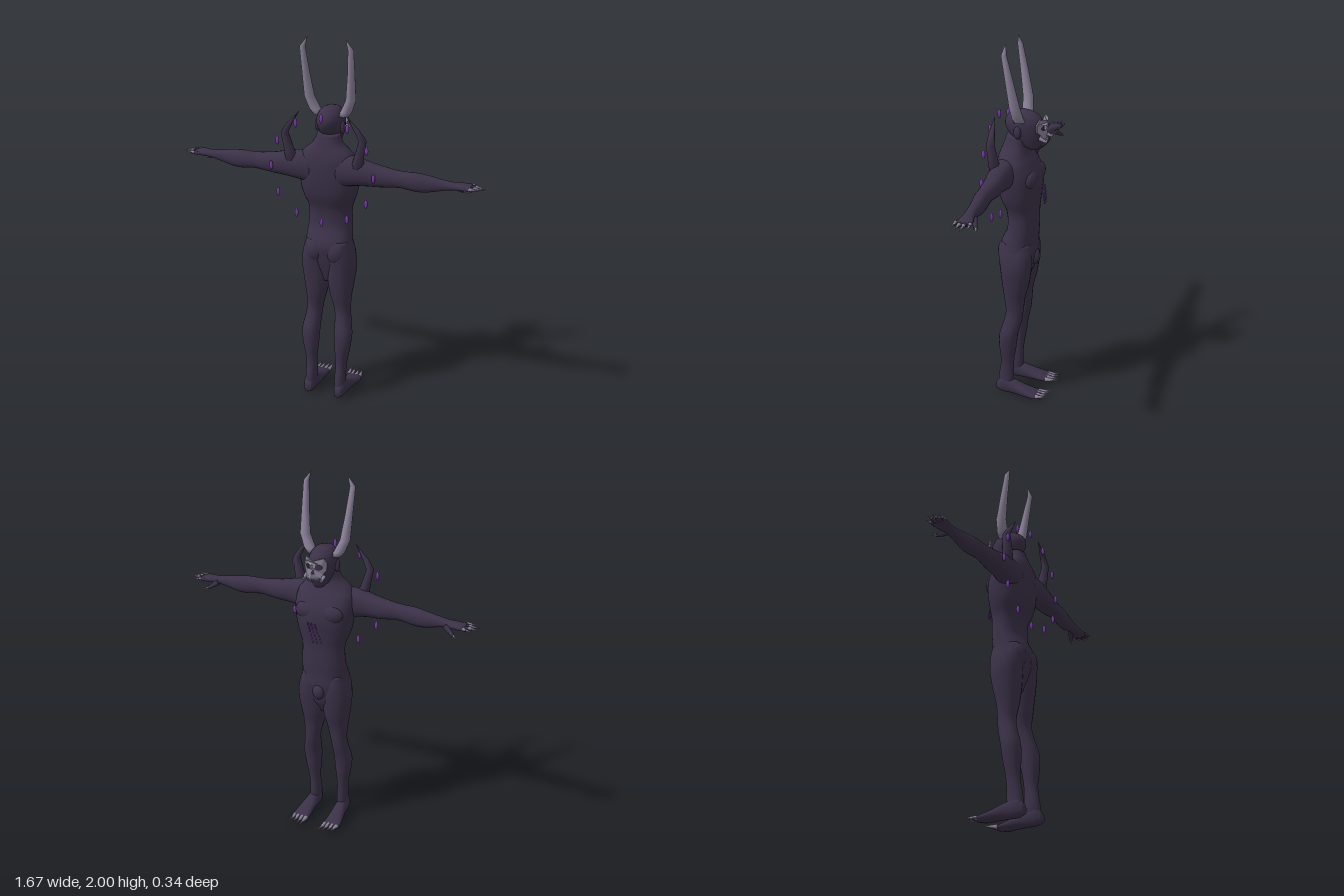
import * as THREE from 'three';

const mat = (name, color) => Object.assign(new THREE.MeshStandardMaterial({ color }), { name });

// Smooth body from cross-sections. Rows: [s, aMin, aMax, bMin, bMax], s increasing along the axis.
function loft(rows, axis, side = 1, sub = 4, n = 20, power = 0.9) {
  const rings = [];
  for (let i = 0; i < rows.length - 1; i++) {
    const p0 = rows[Math.max(i - 1, 0)], p1 = rows[i], p2 = rows[i + 1], p3 = rows[Math.min(i + 2, rows.length - 1)];
    for (let k = 0; k < sub; k++) {
      const t = k / sub;
      rings.push(p1.map((v, c) => {
        if (c === 0 || sub === 1) return v + (p2[c] - v) * t;
        const m1 = (p2[c] - p0[c]) / 2, m2 = (p3[c] - v) / 2, d = p2[c] - v;
        return v + m1 * t + (3 * d - 2 * m1 - m2) * t * t + (m1 + m2 - 2 * d) * t * t * t;
      }));
    }
  }
  rings.push(rows[rows.length - 1]);
  const pos = [], idx = [];
  const put = (s, a, b) => {
    const p = axis === 'y' ? [a, s, b] : axis === 'x' ? [s, a, b] : [a, b, s];
    pos.push(p[0] * side, p[1], p[2]);
  };
  const bend = (v) => Math.sign(v) * Math.pow(Math.abs(v), power);
  for (const [s, a0, a1, b0, b1] of rings) {
    for (let j = 0; j < n; j++) {
      const t = (j / n) * Math.PI * 2;
      put(s, (a0 + a1) / 2 + bend(Math.cos(t)) * (a1 - a0) / 2, (b0 + b1) / 2 + bend(Math.sin(t)) * (b1 - b0) / 2);
    }
  }
  const flip = (axis === 'y') !== (side < 0);
  const tri = (a, b, c) => (flip ? idx.push(a, c, b) : idx.push(a, b, c));
  const last = rings.length - 1, c0 = rings.length * n, c1 = c0 + 1;
  for (let j = 0; j < n; j++) {
    const k = (j + 1) % n;
    for (let i = 0; i < last; i++) {
      tri(i * n + j, i * n + k, (i + 1) * n + k);
      tri(i * n + j, (i + 1) * n + k, (i + 1) * n + j);
    }
    tri(c0, k, j);
    tri(c1, last * n + j, last * n + k);
  }
  for (const r of [rings[0], rings[last]]) put(r[0], (r[1] + r[2]) / 2, (r[3] + r[4]) / 2);
  const g = new THREE.BufferGeometry();
  g.setAttribute('position', new THREE.Float32BufferAttribute(pos, 3));
  g.setIndex(idx);
  g.computeVertexNormals();
  return g;
}

// Tapered rod between two points
function rod(a, b, r0, r1 = 0.001) {
  const A = new THREE.Vector3(...a), B = new THREE.Vector3(...b), d = B.clone().sub(A);
  const g = new THREE.CylinderGeometry(r1, r0, d.length(), 8);
  g.applyQuaternion(new THREE.Quaternion().setFromUnitVectors(new THREE.Vector3(0, 1, 0), d.normalize()));
  const m = A.add(B).multiplyScalar(0.5);
  return g.translate(m.x, m.y, m.z);
}

const ball = (x, y, z, rx, ry, rz, w = 14, h = 10) =>
  new THREE.SphereGeometry(1, w, h).scale(rx, ry, rz).translate(x, y, z);

// Rows symmetric in x: [y, halfWidth, zFront, zBack]
const centred = (rows) => rows.map(([y, w, f, b]) => [y, -w, w, f, b]);

export function createModel() {
  const group = new THREE.Group();
  const skin = mat('dark skin', 0x3b3148), bone = mat('pale bone', 0x8b8199), gem = mat('violet glow', 0x7c3cab);
  const add = (name, geo, m) => {
    const mesh = new THREE.Mesh(geo, m);
    mesh.name = name;
    group.add(mesh);
  };

  // Torso and neck; the body faces -z
  add('torso', loft(centred([
    [0.69, 0.05, 0.01, 0.1], [0.76, 0.1, -0.025, 0.12], [0.86, 0.132, -0.045, 0.142], [0.92, 0.126, -0.046, 0.143],
    [1.0, 0.12, -0.05, 0.108], [1.1, 0.118, -0.052, 0.11], [1.18, 0.145, -0.06, 0.14], [1.25, 0.157, -0.068, 0.153],
    [1.32, 0.162, -0.06, 0.157], [1.38, 0.155, -0.03, 0.155], [1.42, 0.125, -0.005, 0.147], [1.46, 0.08, 0.005, 0.133],
    [1.51, 0.058, 0, 0.118],
  ]), 'y', 1, 4, 32, 0.85), skin);
  add('groin', ball(0, 0.83, -0.035, 0.035, 0.045, 0.028), skin);

  // Head
  add('head', loft(centred([
    [1.44, 0.025, -0.052, 0], [1.46, 0.043, -0.064, 0.04], [1.5, 0.058, -0.076, 0.085], [1.54, 0.068, -0.08, 0.115],
    [1.58, 0.07, -0.077, 0.126], [1.612, 0.06, -0.06, 0.113], [1.635, 0.04, -0.028, 0.085], [1.647, 0.012, 0.01, 0.045],
  ]), 'y', 1, 4, 28, 1), skin);

  for (const s of [1, -1]) {
    const side = s > 0 ? 'left' : 'right';
    const part = (name, geo, m) => add(side + name, geo, m);

    part('Ear', ball(s * 0.07, 1.54, 0.04, 0.012, 0.034, 0.02), skin);
    part('Pectoral', ball(s * 0.068, 1.295, -0.03, 0.068, 0.05, 0.036), skin);
    part('Buttock', ball(s * 0.06, 0.87, 0.098, 0.06, 0.075, 0.054), skin);

    // Leg and foot
    part('Leg', loft([
      [0.03, 0.06, 0.12, 0.06, 0.15], [0.1, 0.055, 0.115, 0.062, 0.148], [0.2, 0.058, 0.118, 0.06, 0.133],
      [0.3, 0.05, 0.135, 0.045, 0.14], [0.38, 0.045, 0.143, 0.035, 0.137], [0.46, 0.042, 0.13, 0.016, 0.115],
      [0.52, 0.035, 0.123, 0.008, 0.104], [0.6, 0.015, 0.128, 0, 0.115], [0.68, -0.002, 0.14, -0.02, 0.125],
      [0.78, -0.005, 0.15, -0.035, 0.135], [0.86, 0.005, 0.14, -0.04, 0.142], [0.93, 0.03, 0.12, -0.03, 0.13],
    ], 'y', s), skin);
    part('Foot', loft([
      [-0.105, 0.055, 0.14, 0.01, 0.026], [-0.06, 0.05, 0.145, 0, 0.04], [0, 0.052, 0.137, 0, 0.06],
      [0.06, 0.055, 0.125, 0, 0.085], [0.13, 0.057, 0.12, 0, 0.1], [0.16, 0.07, 0.108, 0.012, 0.06],
    ], 'z', s), skin);
    [0.062, 0.084, 0.108, 0.13].forEach((x, i) =>
      part('ToeClaw', rod([s * x, 0.02, -0.08], [s * (x - 0.004), 0.03, -0.168 + i * 0.006], 0.013), bone));

    // Arm and hand
    part('Arm', loft([
      [0.06, 1.24, 1.41, 0.03, 0.15], [0.15, 1.255, 1.41, 0.03, 0.155], [0.22, 1.265, 1.396, 0.04, 0.152],
      [0.3, 1.27, 1.378, 0.045, 0.145], [0.4, 1.28, 1.365, 0.055, 0.135], [0.48, 1.27, 1.365, 0.052, 0.13],
      [0.54, 1.272, 1.358, 0.05, 0.12], [0.62, 1.29, 1.345, 0.055, 0.11], [0.67, 1.3, 1.338, 0.05, 0.108],
      [0.72, 1.302, 1.337, 0.036, 0.11], [0.76, 1.307, 1.331, 0.036, 0.112],
    ], 'x', s), skin);
    [0.044, 0.064, 0.084, 0.104].forEach((z, i) => {
      const reach = [0.81, 0.833, 0.828, 0.81][i], tip = z + (i - 1.5) * 0.004;
      part('Finger', rod([s * 0.74, 1.32, z], [s * (reach - 0.035), 1.32, tip], 0.011, 0.008), skin);
      part('FingerClaw', rod([s * (reach - 0.055), 1.324, tip], [s * reach, 1.312 + i * 0.004, tip], 0.0095), bone);
    });
    part('Thumb', rod([s * 0.66, 1.312, 0.055], [s * 0.71, 1.28, 0.03], 0.016, 0.009), skin);
    part('ThumbClaw', rod([s * 0.70, 1.287, 0.034], [s * 0.735, 1.268, 0.02], 0.009), bone);

    // Horn and bent shoulder spike
    part('Horn', loft([
      [1.595, 0.035, 0.095, 0.0, 0.06], [1.62, 0.055, 0.115, 0.003, 0.062], [1.685, 0.086, 0.139, 0.012, 0.068],
      [1.82, 0.103, 0.141, 0.042, 0.085], [1.95, 0.114, 0.143, 0.073, 0.102], [2.0, 0.1, 0.102, 0.086, 0.089],
    ], 'y', s, 1, 12, 1), bone);
    part('ShoulderSpike', loft([
      [1.35, 0.14, 0.215, 0.09, 0.15], [1.42, 0.165, 0.217, 0.1, 0.155], [1.51, 0.193, 0.232, 0.112, 0.155],
      [1.56, 0.168, 0.198, 0.12, 0.153], [1.63, 0.127, 0.13, 0.137, 0.141],
    ], 'y', s, 1, 10, 1), skin);

    // Tusk curling up from the mask
    part('Tusk', rod([s * 0.048, 1.515, -0.07], [s * 0.05, 1.5, -0.108], 0.011, 0.007), bone);
    part('TuskTip', rod([s * 0.05, 1.499, -0.105], [s * 0.045, 1.528, -0.124], 0.0075), bone);
  }

  // Curved mask with eye and nose openings
  const half = [[0.022, 1.607], [0.05, 1.612], [0.062, 1.585], [0.06, 1.545], [0.048, 1.53], [0.046, 1.503], [0.024, 1.497]];
  const shape = new THREE.Shape([
    new THREE.Vector2(0, 1.598), ...half.map(([x, y]) => new THREE.Vector2(x, y)),
    ...half.slice().reverse().map(([x, y]) => new THREE.Vector2(-x, y)),
  ]);
  for (const s of [1, -1]) shape.holes.push(new THREE.Path().absellipse(s * 0.03, 1.567, 0.016, 0.012, 0, Math.PI * 2, true, s * -0.3));
  shape.holes.push(new THREE.Path([[0, 1.553], [0.009, 1.53], [-0.009, 1.53]].map((p) => new THREE.Vector2(...p))));
  const mask = new THREE.ExtrudeGeometry(shape, { depth: 0.008, bevelEnabled: false, curveSegments: 10 });
  const p = mask.attributes.position;
  for (let i = 0; i < p.count; i++) p.setZ(i, p.getZ(i) - 0.102 + 10 * p.getX(i) ** 2);
  mask.computeVertexNormals();
  add('mask', mask, bone);
  for (let i = -3; i <= 3; i++) {
    const x = i * 0.013, z = -0.097 + 10 * x * x;
    add('maskTooth', rod([x, 1.502, z], [x, 1.48, z - 0.003], 0.006), bone);
  }

  // Ring of twelve gems floating behind the back
  for (let i = 0; i < 12; i++) {
    const t = (i / 12) * Math.PI * 2;
    add('floatingGem', ball(0.28 * Math.sin(t), 1.33 + 0.28 * Math.cos(t), 0.16, 0.01, 0.024, 0.01, 8, 6), gem);
  }

  // Slanted rows of small chest marks
  for (let c = -1; c <= 1; c++) {
    for (let r = 0; r < 6; r++) {
      const x = c * 0.022 + 0.018 - r * 0.007;
      add('chestMark', ball(x, 1.243 - r * 0.019, -0.088 + 4 * x * x, 0.005, 0.008, 0.004, 6, 4), gem);
    }
  }
  return group;
}
